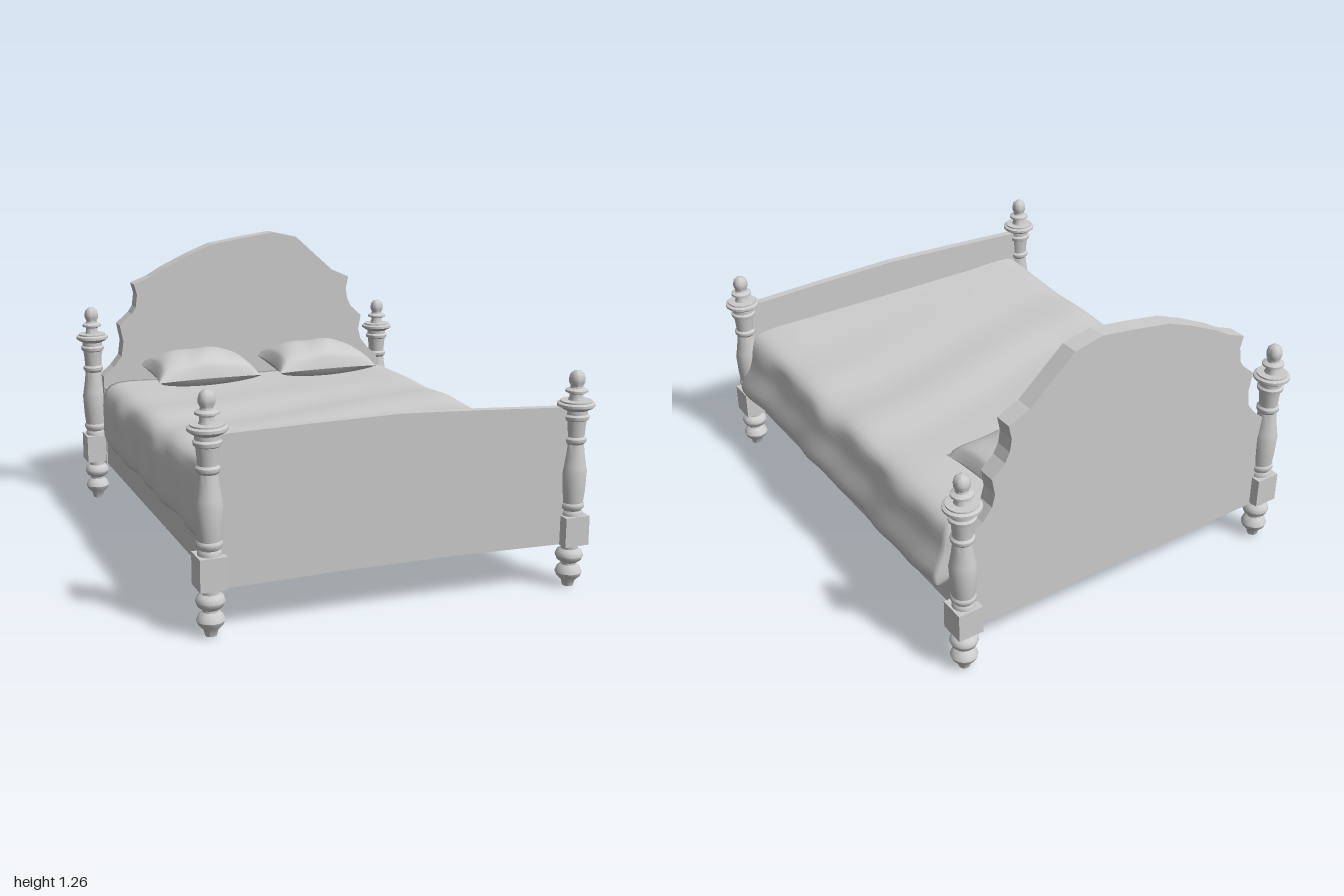
import * as THREE from 'three';
import { toCreasedNormals } from 'three/addons/utils/BufferGeometryUtils.js';

const grey = new THREE.MeshStandardMaterial({ color: 0xcccccc });
const cloth = new THREE.MeshStandardMaterial({ color: 0xcccccc, side: THREE.DoubleSide });

function add(parent, name, geometry, material = grey) {
  const mesh = new THREE.Mesh(geometry, material);
  mesh.name = name;
  parent.add(mesh);
  return mesh;
}

// Moves every vertex by rule(v, index)
function deform(geometry, rule) {
  const p = geometry.attributes.position, v = new THREE.Vector3();
  for (let i = 0; i < p.count; i++) {
    v.fromBufferAttribute(p, i);
    rule(v, i);
    p.setXYZ(i, v.x, v.y, v.z);
  }
  geometry.computeVertexNormals();
  return geometry;
}

// The foot end of the bed is slightly skewed in plan
const skew = (x) => 0.035 * x;

// Board from an outline, centred on z = 0
function board(outline, depth) {
  const shape = new THREE.Shape(outline.map(([x, y]) => new THREE.Vector2(x, y)));
  return new THREE.ExtrudeGeometry(shape, { depth, bevelEnabled: false }).translate(0, 0, -depth / 2);
}

function lathe(points) {
  const profile = points.map(([r, y]) => new THREE.Vector2(r, y));
  return toCreasedNormals(new THREE.LatheGeometry(profile, 20), 0.75);
}

// Turned post: bun foot, square block, vase column, collar and finial
function createPost(name, x, z, height) {
  const post = new THREE.Group();
  post.name = name;
  add(post, 'foot', lathe([
    [0, 0], [0.022, 0.002], [0.028, 0.025], [0.048, 0.045], [0.054, 0.06], [0.046, 0.08],
    [0.031, 0.092], [0.031, 0.1], [0.048, 0.112], [0.056, 0.13], [0.05, 0.148], [0.034, 0.158], [0.034, 0.19],
  ]));
  add(post, 'block', new THREE.BoxGeometry(0.106, 0.12, 0.106).translate(0, 0.24, 0));
  add(post, 'column', lathe([
    [0.045, 0.295], [0.045, 0.312], [0.04, 0.32], [0.05, 0.334], [0.05, 0.346], [0.045, 0.352],
    [0.05, 0.4], [0.054, 0.48], [0.05, 0.5], [0.042, 0.55], [0.037, 0.59], [0.046, 0.6], [0.046, 0.612],
    [0.038, 0.62], [0.041, 0.66], [0.044, 0.685], [0.052, 0.69], [0.054, 0.703], [0.046, 0.71],
    [0.046, 0.725], [0.06, 0.732], [0.074, 0.742], [0.074, 0.752], [0.062, 0.757], [0.062, 0.763], [0, 0.766],
  ]));
  add(post, 'finial', lathe([
    [0.034, 0.76], [0.027, 0.775], [0.027, 0.79], [0.044, 0.797], [0.044, 0.805], [0.026, 0.813],
    [0.024, 0.82], [0.031, 0.835], [0.032, 0.85], [0.027, 0.868], [0.015, 0.879], [0, 0.882],
  ]));
  post.position.set(x, 0, z);
  post.scale.y = height / 0.882;
  return post;
}

// Blanket: a cross-section swept from head to foot, with soft folds
function createBlanket() {
  const curve = new THREE.CatmullRomCurve3([
    [-0.7, 0.315], [-0.735, 0.315], [-0.74, 0.43], [-0.73, 0.53], [-0.69, 0.582], [-0.4, 0.588], [0, 0.585],
    [0.4, 0.585], [0.66, 0.58], [0.715, 0.555], [0.745, 0.45], [0.785, 0.315], [0.7, 0.315],
  ].map(([x, y]) => new THREE.Vector3(x, y, 0)), false, 'centripetal');
  const nu = 72, nv = 60;
  return deform(new THREE.PlaneGeometry(1, 1, nu, nv), (v, i) => {
    const row = Math.floor(i / (nu + 1));
    const t = Math.max(0, row - 1) / (nv - 1);
    const c = curve.getPointAt(v.x + 0.5);
    const z = -0.8 + t * (1.675 + skew(c.x));
    const top = THREE.MathUtils.smoothstep(c.y, 0.5, 0.58);
    const folds = 0.007 * Math.sin(14 * z + 2 * c.x + Math.sin(3 * c.x)) * Math.exp(-5 * (z - 0.05) ** 2);
    const lift = 0.03 * Math.max(0, z) ** 2 * (1 - c.x);
    const hang = (1 - top) * Math.sign(c.x) * (0.008 * Math.sin(9 * z) + 0.005 * Math.sin(21 * z + 9 * c.y));
    v.set(c.x + hang, c.y + top * (folds + lift) + (1 - top) * 0.006 * Math.sin(7 * z), z);
    // The first row folds inward to close the head end
    if (row === 0) {
      v.x *= 0.9;
      v.y = 0.45 + (v.y - 0.45) * 0.7;
    }
  });
}

// Pillow: plump middle, pinched corners and concave sides
function createPillow() {
  return deform(new THREE.BoxGeometry(2, 2, 2, 24, 1, 20), (v) => {
    const { x: u, y: s, z: w } = v;
    const puff = Math.pow(Math.max(0, (1 - u * u) * (1 - w * w)), 0.42);
    const ripple = 1 + 0.05 * Math.sin(7 * u + 2 * w);
    v.x = 0.247 * u * (1 - 0.08 * (1 - w * w));
    v.z = 0.172 * w * (1 - 0.1 * (1 - u * u));
    v.y = s > 0 ? 0.095 * puff * ripple : -0.06 * puff;
    v.y -= 0.012 * w;
  });
}

export function createModel() {
  const bed = new THREE.Group();
  bed.name = 'bed';

  bed.add(
    createPost('footPostLeft', 0.74, 0.92, 0.882),
    createPost('footPostRight', -0.74, 0.862, 0.922),
    createPost('headPostLeft', 0.737, -0.925, 0.882),
    createPost('headPostRight', -0.745, -0.927, 0.935),
  );

  // Tall arched headboard with scooped shoulders
  add(bed, 'headboard', board([
    [-0.71, 0.18], [0.71, 0.18], [0.71, 0.61], [0.66, 0.65], [0.62, 0.7], [0.607, 0.75], [0.62, 0.82],
    [0.565, 0.87], [0.545, 0.91], [0.537, 0.96], [0.55, 1.02], [0.46, 1.06], [0.37, 1.14], [0.27, 1.23],
    [0.15, 1.257], [0, 1.237], [-0.16, 1.212], [-0.27, 1.17], [-0.4, 1.11], [-0.47, 1.07], [-0.55, 1.04],
    [-0.537, 0.99], [-0.545, 0.93], [-0.565, 0.9], [-0.625, 0.85], [-0.61, 0.77], [-0.62, 0.7],
    [-0.66, 0.65], [-0.71, 0.61],
  ], 0.074)).position.z = -0.902;

  // Low footboard with a gently bowed top, skewed with the foot end
  const footboard = board([
    [-0.72, 0.18], [0, 0.195], [0.72, 0.18], [0.72, 0.738], [0.35, 0.758], [0, 0.774], [-0.35, 0.768], [-0.72, 0.758],
  ], 0.035);
  add(bed, 'footboard', deform(footboard, (v) => { v.z += 0.887 + skew(v.x); }));

  // Solid base under the bedding
  const base = new THREE.BoxGeometry(1.41, 0.375, 1.76).translate(0, 0.3675, 0);
  add(bed, 'base', deform(base, (v) => { v.z += v.z > 0 ? skew(v.x) : 0; }));

  add(bed, 'blanket', createBlanket(), cloth);

  for (const [name, x] of [['leftPillow', 0.29], ['rightPillow', -0.297]]) {
    add(bed, name, createPillow()).position.set(x, 0.652, -0.66);
  }
  return bed;
}
